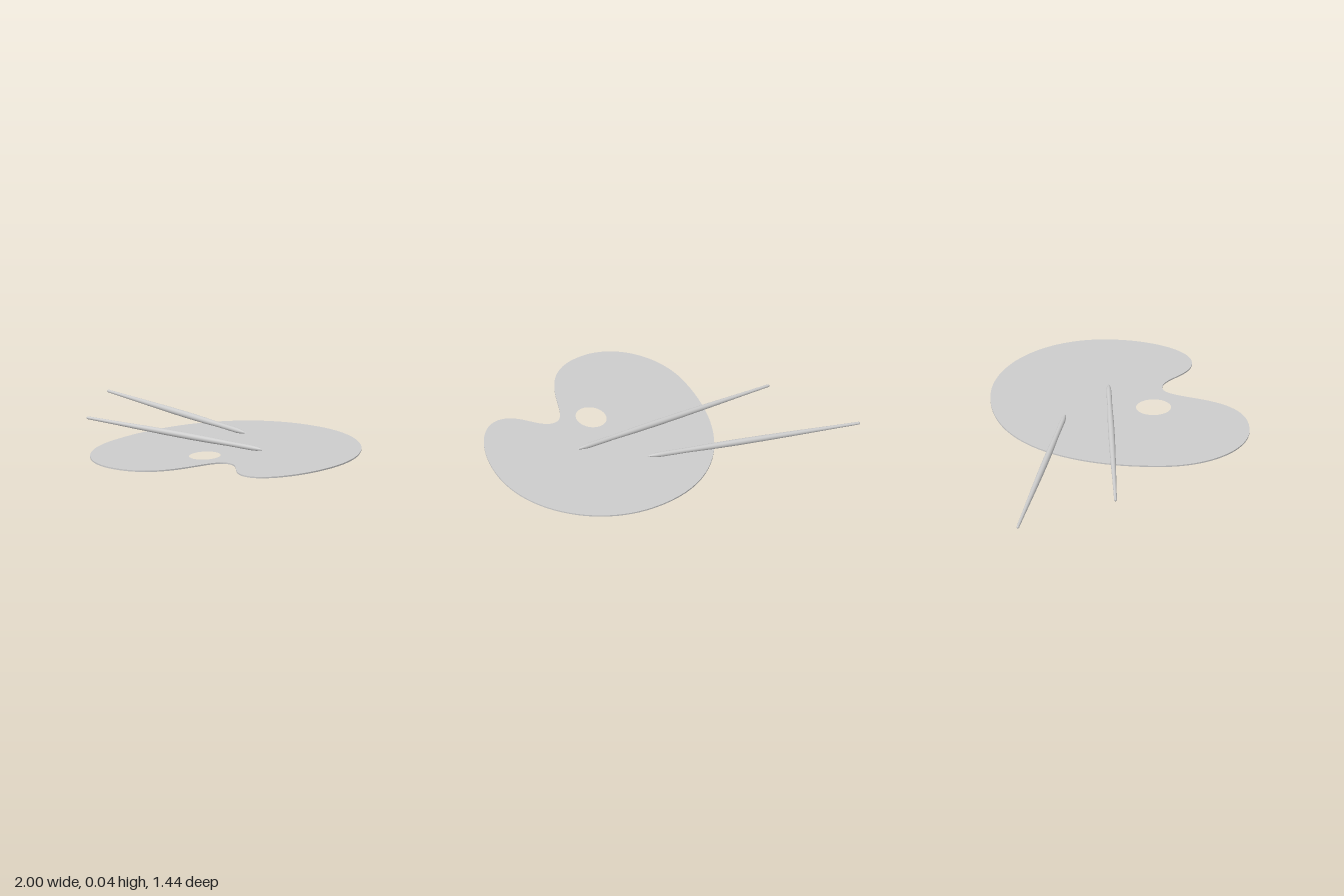
import * as THREE from 'three';

const material = new THREE.MeshStandardMaterial({ color: 0xcccccc });

// Flat kidney-shaped board with a thumb hole; shape y is -z
function makeBoard() {
  const outline = new THREE.Shape();
  outline.moveTo(0.39, 0.725);
  [
    [0.73, 0.725, 1.0, 0.44, 1.0, 0.09],
    [1.0, -0.16, 0.88, -0.415, 0.74, -0.415],
    [0.61, -0.415, 0.58, -0.24, 0.48, -0.24],
    [0.34, -0.24, 0.40, -0.715, 0.03, -0.715],
    [-0.18, -0.715, -0.345, -0.50, -0.345, -0.23],
    [-0.345, 0.25, -0.12, 0.725, 0.39, 0.725],
  ].forEach((c) => outline.bezierCurveTo(...c));

  const thumbHole = new THREE.Path();
  thumbHole.absellipse(0.275, -0.185, 0.083, 0.098, 0, Math.PI * 2, true);
  outline.holes.push(thumbHole);

  const geometry = new THREE.ExtrudeGeometry(outline, { depth: 0.008, bevelEnabled: false, curveSegments: 24 });
  geometry.rotateX(-Math.PI / 2);
  const board = new THREE.Mesh(geometry, material);
  board.name = 'paletteBoard';
  return board;
}

// Lathed brush lying along +x, its bristle tip at the far end
function makeBrush(name, x, z, angle) {
  const part = (partName, profile) => {
    const points = profile.map(([r, d]) => new THREE.Vector2(r, d));
    const mesh = new THREE.Mesh(new THREE.LatheGeometry(points, 20).rotateZ(-Math.PI / 2), material);
    mesh.name = partName;
    return mesh;
  };
  const brush = new THREE.Group();
  brush.name = name;
  brush.add(
    part('handle', [[0, 0], [0.006, 0.001], [0.008, 0.006], [0.010, 0.15], [0.014, 0.36], [0.017, 0.56], [0.018, 0.72], [0.017, 0.86], [0.014, 1.0]]),
    part('ferrule', [[0.014, 1.0], [0.0145, 1.06], [0.0145, 1.12]]),
    part('bristles', [[0.0145, 1.12], [0.0145, 1.155], [0.012, 1.185], [0.007, 1.21], [0, 1.23]]),
  );
  brush.position.set(x, 0.025, z);
  brush.rotation.y = angle;
  return brush;
}

export function createModel() {
  const model = new THREE.Group();
  model.name = 'paletteWithBrushes';
  model.add(
    makeBoard(),
    makeBrush('frontBrush', -0.73, -0.06, 0),
    makeBrush('backBrush', -1.0, -0.618, -0.253),
  );
  return model;
}
